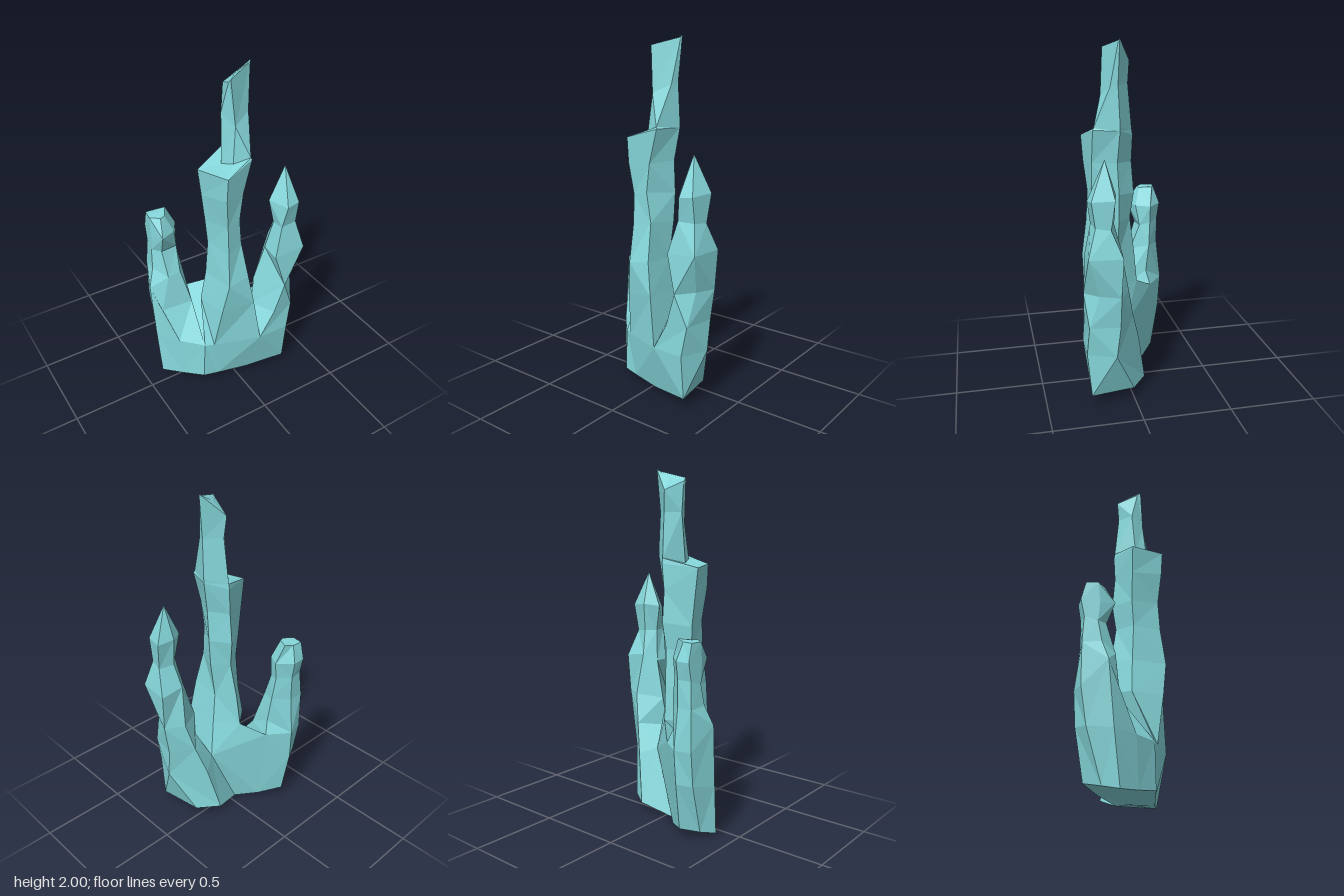
import * as THREE from 'three';

const material = new THREE.MeshStandardMaterial({ color: 0x86d8dc, flatShading: true });

// Outline of the base at the ground and where it splits into spires, both
// running along the front from left to right and returning along the back
const baseBottom = [
  [-0.39, 0.015, -0.07], [-0.3, 0.03, 0.035], [-0.21, 0.05, 0.14], [-0.12, 0.04, 0.155],
  [0.06, 0.03, 0.19], [0.3, 0.06, 0.25], [0.26, 0.06, 0], [0.14, 0.06, -0.09],
  [-0.04, 0, -0.03], [-0.14, 0.03, -0.14], [-0.26, 0.06, -0.23], [-0.34, 0.035, -0.15],
];
const baseTop = [
  [-0.4, 0.3, -0.1], [-0.31, 0.3, 0.025], [-0.2, 0.3, 0.14], [-0.15, 0.3, 0.165],
  [0.11, 0.32, 0.27], [0.3, 0.32, 0.275], [0.365, 0.32, 0.12], [0.2, 0.34, -0.04],
  [0.11, 0.38, 0.02], [-0.14, 0.52, -0.19], [-0.27, 0.33, -0.275], [-0.35, 0.32, -0.23],
];

// Sections of each spire: left, front left, front right, right, back
const middleSections = [
  [[-0.16, 0.58, 0.03], [-0.12, 0.58, 0.21], [0.07, 0.6, 0.25], [0.075, 0.6, 0.04], [-0.03, 0.6, -0.08]],
  [[-0.13, 0.77, 0.04], [-0.09, 0.77, 0.235], [0.04, 0.79, 0.23], [0.05, 0.78, 0.05], [-0.02, 0.79, -0.06]],
  [[-0.12, 0.98, 0.05], [-0.08, 0.98, 0.21], [0.02, 1, 0.18], [0.08, 1, 0.05], [0, 1, -0.03]],
  [[-0.13, 1.13, 0.04], [-0.08, 1.15, 0.2], [0, 1.17, 0.19], [0.09, 1.16, 0.05], [0.01, 1.15, -0.05]],
  [[-0.15, 1.3, 0.04], [-0.1, 1.33, 0.22], [0.02, 1.33, 0.19], [0.09, 1.34, 0.06], [0.01, 1.33, -0.035]],
  [[-0.17, 1.46, 0.04], [-0.1, 1.47, 0.23], [0.07, 1.52, 0.19], [0.12, 1.52, 0.05], [0.02, 1.48, -0.04]],
  // Ledge, then the slimmer tip
  [[-0.05, 1.48, 0.08], [-0.02, 1.5, 0.15], [0.065, 1.53, 0.185], [0.12, 1.54, 0.05], [0.02, 1.51, -0.035]],
  [[-0.04, 1.76, 0.06], [0, 1.7, 0.135], [0.1, 1.75, 0.1], [0.115, 1.76, 0.06], [0.03, 1.76, -0.01]],
  [[-0.02, 1.93, 0.1], [-0.02, 1.95, 0.12], [0.13, 1.99, 0.06], [0.137, 2, 0.055], [0.02, 1.88, -0.02]],
];
// This spire has a sixth corner, at the back left
const rightSections = [
  [[-0.41, 0.65, -0.13], [-0.365, 0.5, -0.07], [-0.185, 0.52, -0.035],
    [-0.17, 0.6, -0.17], [-0.265, 0.52, -0.285], [-0.36, 0.52, -0.26]],
  [[-0.37, 0.76, -0.16], [-0.31, 0.72, -0.08], [-0.23, 0.73, -0.085],
    [-0.18, 0.76, -0.19], [-0.27, 0.75, -0.26], [-0.36, 0.75, -0.26]],
  [[-0.36, 0.88, -0.18], [-0.32, 0.88, -0.13], [-0.22, 0.88, -0.14],
    [-0.2, 0.9, -0.2], [-0.27, 0.9, -0.26], [-0.35, 0.9, -0.25]],
  [[-0.36, 0.98, -0.17], [-0.33, 1, -0.085], [-0.24, 1, -0.12],
    [-0.19, 1, -0.2], [-0.27, 1, -0.275], [-0.35, 1, -0.27]],
  [[-0.36, 1.1, -0.18], [-0.31, 1.1, -0.14], [-0.28, 1.1, -0.15],
    [-0.24, 1.11, -0.22], [-0.29, 1.1, -0.24], [-0.35, 1.1, -0.245]],
];
const leftSections = [
  [[0.13, 0.49, 0.14], [0.2, 0.48, 0.275], [0.33, 0.49, 0.265], [0.37, 0.5, 0.1], [0.25, 0.51, 0.005]],
  [[0.15, 0.66, 0.12], [0.26, 0.67, 0.285], [0.35, 0.68, 0.21], [0.395, 0.68, 0.1], [0.29, 0.68, 0.04]],
  [[0.21, 0.88, 0.14], [0.2, 0.88, 0.265], [0.385, 0.9, 0.275], [0.405, 0.9, 0.09], [0.27, 0.92, 0.08]],
  [[0.24, 1.06, 0.17], [0.25, 1.06, 0.24], [0.35, 1.06, 0.23], [0.37, 1.05, 0.15], [0.29, 1.06, 0.12]],
  [[0.21, 1.21, 0.16], [0.27, 1.19, 0.26], [0.35, 1.2, 0.25], [0.385, 1.21, 0.13], [0.29, 1.22, 0.11]],
];

// Skin a stack of closed sections, optionally closing either end to a point
function loft(name, rings, { apex, foot }) {
  const n = rings[0].length;
  const points = [];
  const fan = (tip, ring, up) => {
    for (let i = 0; i < n; i++) {
      const a = ring[i], b = ring[(i + 1) % n];
      points.push(...(up ? [a, b, tip] : [b, a, tip]));
    }
  };
  for (let r = 0; r + 1 < rings.length; r++) {
    for (let i = 0; i < n; i++) {
      const j = (i + 1) % n;
      const [a, b, c, d] = [rings[r][i], rings[r][j], rings[r + 1][j], rings[r + 1][i]];
      points.push(...((r + i) % 2 ? [a, b, c, a, c, d] : [a, b, d, b, c, d]));
    }
  }
  if (foot) fan(foot, rings[0], false);
  if (apex) fan(apex, rings[rings.length - 1], true);
  const geometry = new THREE.BufferGeometry();
  geometry.setAttribute('position', new THREE.Float32BufferAttribute(points.flat(), 3));
  geometry.computeVertexNormals();
  const mesh = new THREE.Mesh(geometry, material);
  mesh.name = name;
  return mesh;
}

export function createModel() {
  const group = new THREE.Group();
  group.name = 'crystalSpires';
  // Each spire grows from its share of the base outline; neighbours share two corners
  const root = (...corners) => corners.map((i) => baseTop[i]);
  group.add(
    loft('base', [baseBottom, baseTop], { foot: [-0.04, 0.01, 0.03] }),
    loft('middleSpire', [root(2, 3, 4, 8, 9), ...middleSections], { apex: [0.045, 1.945, 0.05] }),
    loft('rightSpire', [root(0, 1, 2, 9, 10, 11), ...rightSections], { apex: [-0.3, 1.105, -0.19] }),
    loft('leftSpire', [root(8, 4, 5, 6, 7), ...leftSections], { apex: [0.3, 1.41, 0.17] }),
  );
  return group;
}
